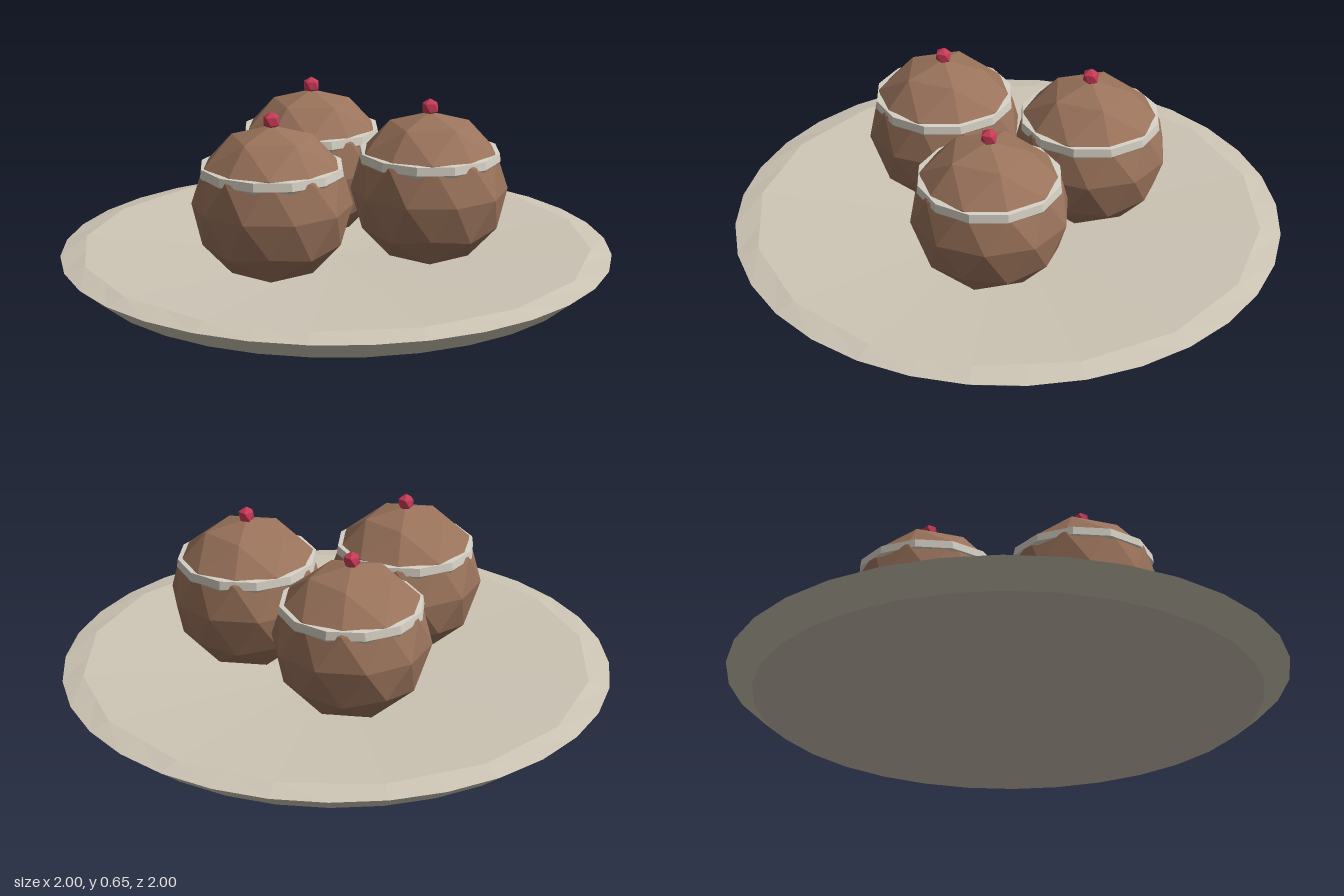
import * as THREE from 'three';

const flat = (name, color) => {
  const m = new THREE.MeshStandardMaterial({ color, flatShading: true });
  m.name = name;
  return m;
};

const lathe = (points, sides) =>
  new THREE.LatheGeometry(points.map(([x, y]) => new THREE.Vector2(x, y)), sides);

// Icosahedron-based ball turned so that one corner points straight up
const poleUpBall = (radius, detail) =>
  new THREE.IcosahedronGeometry(radius, detail).rotateZ(-Math.atan(2 / (1 + Math.sqrt(5))));

// Shallow plate: 32-sided rim, with a 16-sided inner edge
function plateGeometry() {
  const profile = [[0, 0], [0.905, 0], [1, 0.078], [0.925, 0.095], [0, 0.045]];
  const sides = 32, inner = 3;
  const geo = lathe(profile, sides);
  const pos = geo.attributes.position;
  const shrink = Math.cos((2 * Math.PI) / sides);
  for (let i = 1; i < sides; i += 2) {
    const v = i * profile.length + inner;
    pos.setX(v, pos.getX(v) * shrink);
    pos.setZ(v, pos.getZ(v) * shrink);
  }
  return geo;
}

export function createModel() {
  const group = new THREE.Group();
  group.name = 'plateOfBuns';

  const china = flat('china', 0xcdc5b5);
  const chocolate = flat('chocolate', 0x9a735b);
  const icing = flat('icing', 0xd6d1c5);
  const cherryRed = flat('cherryRed', 0xc83a56);

  const add = (parent, name, geo, mat, y = 0) => {
    const mesh = new THREE.Mesh(geo, mat);
    mesh.name = name;
    mesh.position.y = y;
    parent.add(mesh);
  };

  add(group, 'plate', plateGeometry(), china);

  const bunGeo = poleUpBall(0.283, 1);
  const cherryGeo = poleUpBall(0.032, 0);
  // Icing band, a 12-sided ring that the bun's corners just poke through
  const bandGeo = lathe(
    [[0.22, 0.425], [0.247, 0.42], [0.257, 0.432], [0.253, 0.462], [0.225, 0.464], [0.22, 0.425]], 12);

  // Three buns, each with a band and a cherry
  const spots = { rightBun: [-0.287, 0.166], leftBun: [0.304, 0.147], backBun: [0, -0.308] };
  for (const [name, [x, z]] of Object.entries(spots)) {
    const bun = new THREE.Group();
    bun.name = name;
    bun.position.set(x, 0, z);
    add(bun, 'bunBody', bunGeo, chocolate, 0.318);
    add(bun, 'icingBand', bandGeo, icing);
    add(bun, 'cherry', cherryGeo, cherryRed, 0.617);
    group.add(bun);
  }
  return group;
}
